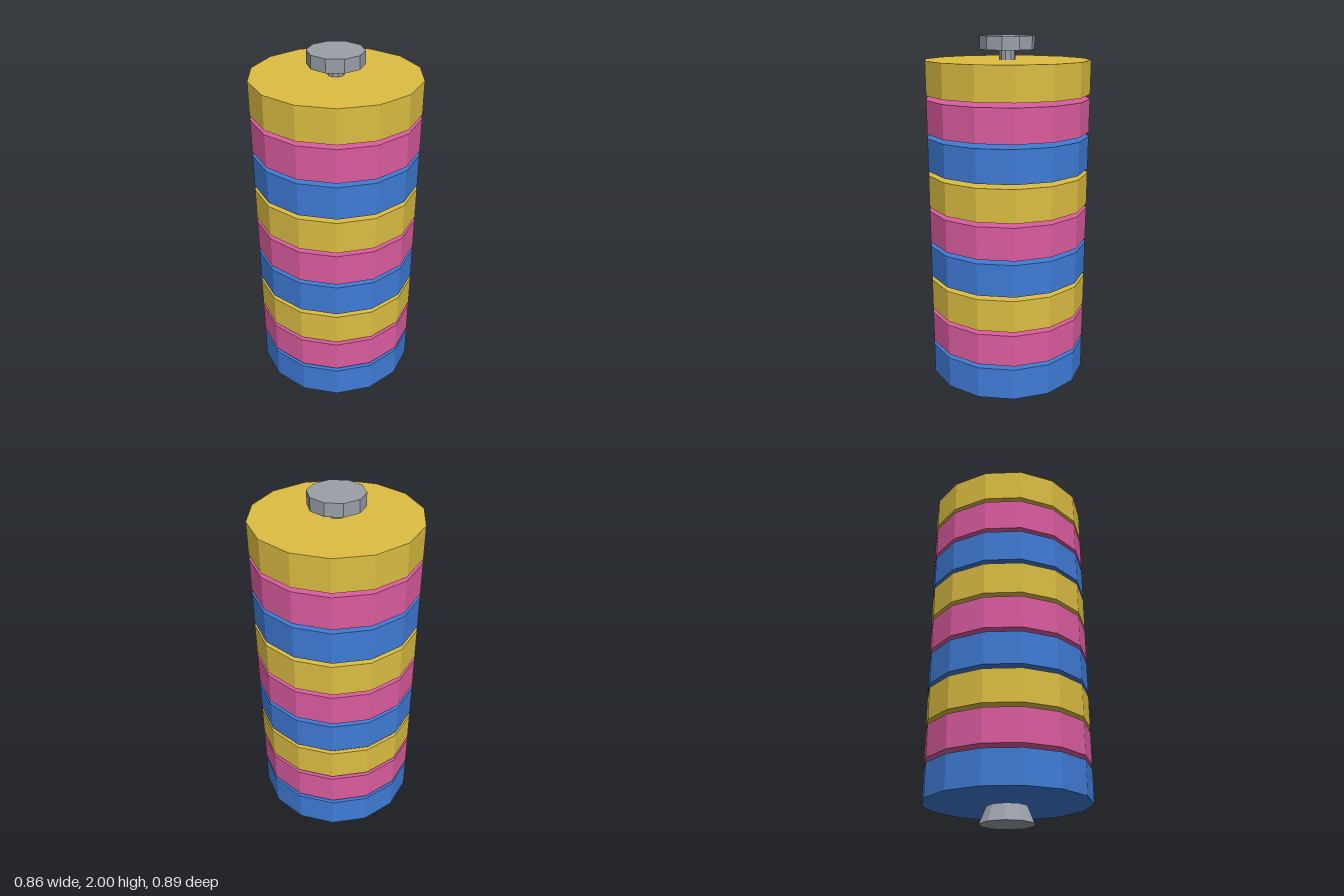
import * as THREE from 'three';

export function createModel() {
  const model = new THREE.Group();
  const paint = (color) => new THREE.MeshStandardMaterial({ color, flatShading: true });
  const metal = paint(0x9a9fa8);
  const discColors = [paint(0x3f7bd6), paint(0xdb5c9f), paint(0xdcbd42)];

  // Upright faceted cylinder spanning y0..y1
  function column(name, rTop, rBottom, y0, y1, sides, material) {
    const mesh = new THREE.Mesh(new THREE.CylinderGeometry(rTop, rBottom, y1 - y0, sides), material);
    mesh.position.y = (y0 + y1) / 2;
    mesh.name = name;
    model.add(mesh);
  }

  // Metal spindle with a tapered foot and a flat cap
  column('foot', 0.11, 0.147, 0, 0.09, 10, metal);
  column('rod', 0.043, 0.043, 0.09, 1.93, 10, metal);
  column('cap', 0.147, 0.147, 1.93, 2, 10, metal);

  // Nine discs in repeating blue, pink and yellow
  for (let i = 0; i < 9; i++) {
    const y = 0.1 + i * 0.2;
    column(`disc${i + 1}`, 0.443, 0.443, y, y + 0.177, 14, discColors[i % 3]);
  }
  return model;
}
